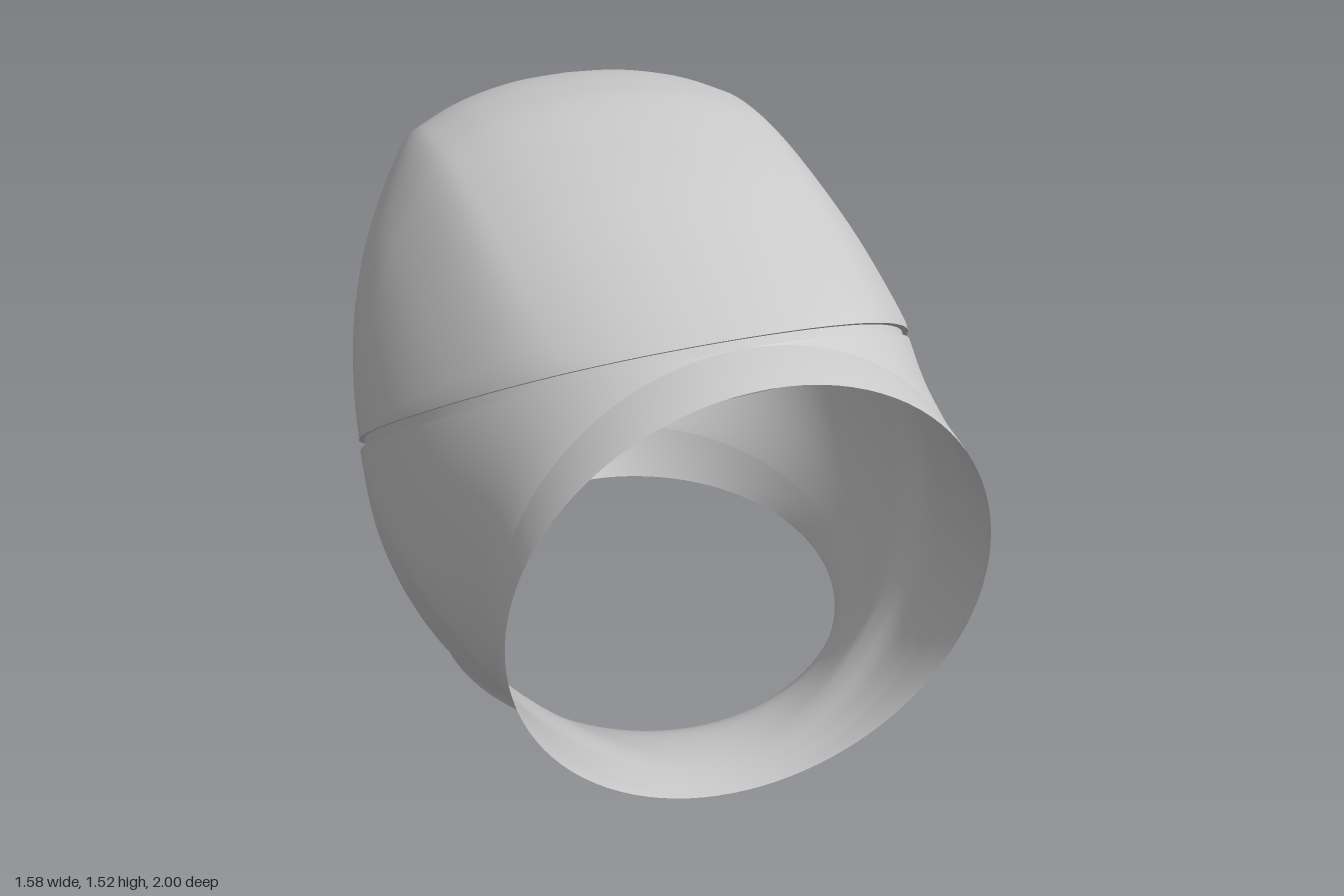
import * as THREE from 'three';
import { mergeVertices, toCreasedNormals } from 'three/addons/utils/BufferGeometryUtils.js';

const { lerp } = THREE.MathUtils;
const material = new THREE.MeshStandardMaterial({ color: 0xcccccc, side: THREE.DoubleSide });
const curve = pts => new THREE.SplineCurve(pts.map(p => new THREE.Vector2(...p)));

const R = 0.62;   // radius of both openings
const W = 0.79;   // half width at the joint

// Slanted joint outlines: centre height, front reach and back reach as [z, y]
const sleeveRim = { y: 0.687, front: [0.855, 0.673], back: [-0.65, -0.517] };
const capRim = { y: 0.724, front: [0.82, 0.642], back: [-0.67, -0.524] };

// Half width of the joint outline at reach d (0 side, 1 tip)
const rimWidth = (angle, d, isFront) =>
  W * Math.cos(angle) * (1 - (isFront ? 0.4 : -0.25) * d * d * (1 - d));

function rimPoint(rim, angle, scale = 1) {
  const s = Math.sin(angle), d = Math.abs(s), isFront = s >= 0;
  const [z, y] = isFront ? rim.front : rim.back;
  return [rimWidth(angle, d, isFront) * scale, rim.y + y * d * scale, z * d * scale];
}

// Surface patch from fn(u, v) -> [x, y, z], u and v in 0..1
function patch(fn, nu, nv) {
  const pos = [], index = [];
  for (let j = 0; j <= nv; j++)
    for (let i = 0; i <= nu; i++) pos.push(...fn(i / nu, j / nv));
  for (let j = 0; j < nv; j++)
    for (let i = 0; i < nu; i++) {
      const a = j * (nu + 1) + i, b = a + 1, c = a + nu + 1, d = c + 1;
      index.push(a, c, b, b, c, d);
    }
  const g = new THREE.BufferGeometry();
  g.setAttribute('position', new THREE.Float32BufferAttribute(pos, 3));
  g.setIndex(index);
  return g;
}

function smooth(geometry) {
  const g = mergeVertices(geometry, 1e-4);
  g.computeVertexNormals();
  return g;
}

// Sleeve: oval sections fanned about the pivot z = 1, y = 0, from the front
// opening to the bottom opening, each one cut off at the joint outline
const SIDE = 0.65;  // share of the turn at which the sleeve is widest
const middle = curve([[0, 0.72], [0.2, 0.75], [0.4, 0.87], [0.55, 1.03],
  [0.65, 1.1], [0.75, 1.08], [0.88, 0.99], [1, 0.96]]);

function middleRadius(turn) {
  let lo = 0, hi = 1;
  for (let i = 0; i < 24; i++) {
    const t = (lo + hi) / 2;
    if (middle.getPoint(t).x < turn) lo = t; else hi = t;
  }
  return middle.getPoint(lo).y;
}

// Where a section ends: turn angle, distance from the pivot and half width
function sectionEnd(v) {
  const at = angle => {
    const [x, y, z] = rimPoint(sleeveRim, angle);
    return { turn: Math.atan2(1 - z, y), reach: Math.hypot(1 - z, y), x };
  };
  const q = Math.PI / 2, edge = 0.06;
  if (v < edge) {
    const tip = at(q), k = v / edge;
    return { turn: tip.turn * k, reach: lerp(1.34, tip.reach, k), x: 0 };
  }
  if (v > 1 - edge) {
    const tip = at(-q), k = (1 - v) / edge;
    return { turn: lerp(q, tip.turn, k), reach: lerp(1.58, tip.reach, k), x: 0 };
  }
  return at(q - Math.PI * (v - edge) / (1 - 2 * edge));
}

function sleeveSurface(u, v) {
  const end = sectionEnd(v), turn = end.turn / (Math.PI / 2);
  const off = turn < SIDE ? 1 - turn / SIDE : (turn - SIDE) / (1 - SIDE);
  const swell = Math.pow(Math.max(0, Math.cos(off * Math.PI / 2)), turn < SIDE ? 3 : 1.2);
  const width = Math.max(lerp(R, W, swell), end.x * 1.0005);
  const inner = 1 / Math.hypot(Math.sin(end.turn) / 0.34, Math.cos(end.turn) / 0.1);
  const centre = middleRadius(turn);
  const w = 2 * u - 1, m = Math.abs(w) * 2;
  let x, r;
  if (m <= 1) {
    // slimmer towards the inside of the bend
    const a = m * Math.PI / 2, c = Math.cos(a);
    x = lerp(width, R, c * c) * Math.sin(a);
    r = lerp(centre, inner, c);
  } else {
    const last = Math.acos(Math.max(0, end.x) / width), a = (m - 1) * last;
    x = width * Math.cos(a);
    r = lerp(centre, end.reach, Math.sin(a) / Math.sin(last));
  }
  return [Math.sign(w) * x, r * Math.cos(end.turn), 1 - r * Math.sin(end.turn)];
}

// Cap centre line (z, y) and its shrinking towards the sides (x, factor)
const profile = curve([[0.82, 1.366], [0.5, 1.43], [0.15, 1.49], [-0.2, 1.52], [-0.4, 1.512],
  [-0.6, 1.475], [-0.75, 1.405], [-0.87, 1.3], [-0.95, 1.17], [-0.99, 1.06], [-1, 0.97],
  [-0.985, 0.85], [-0.945, 0.72], [-0.88, 0.565], [-0.78, 0.39], [-0.67, 0.2]]);
const crown = curve([[0, 1], [0.16, 0.99], [0.32, 0.953], [0.44, 0.9], [0.5, 0.86],
  [0.57, 0.755], [0.656, 0.59], [0.71, 0.45], [0.75, 0.31], [0.78, 0.14], [W, 0]]);

function capSurface(u, v) {
  const w = 1 - 2 * u, m = Math.abs(w), a = (1 - m) * Math.PI / 2;
  const c = crown.getPoint(m), d = Math.sin(a);
  const k = Math.pow(Math.max(0, Math.sin(Math.PI * v)), 0.6);
  const f = lerp(d, c.y, k), p = profile.getPoint(v);
  return [
    Math.sign(w) * lerp(rimWidth(a, d, v < 0.5), c.x, k),
    lerp(capRim.y, p.y, f),
    p.x * f,
  ];
}

// Recessed band between the two shells
function grooveSurface(u, v) {
  const step = Math.round(v * 3);
  return rimPoint(step < 2 ? sleeveRim : capRim, u * Math.PI * 2, step % 3 ? 0.98 : 1);
}

export function createModel() {
  const group = new THREE.Group();
  const add = (name, geometry) => {
    const mesh = new THREE.Mesh(geometry, material);
    mesh.name = name;
    group.add(mesh);
  };
  add('elbowSleeve', smooth(patch(sleeveSurface, 96, 100)));
  add('elbowCap', smooth(patch(capSurface, 80, 72)));
  add('jointGroove', toCreasedNormals(patch(grooveSurface, 128, 3), 0.6));
  return group;
}
